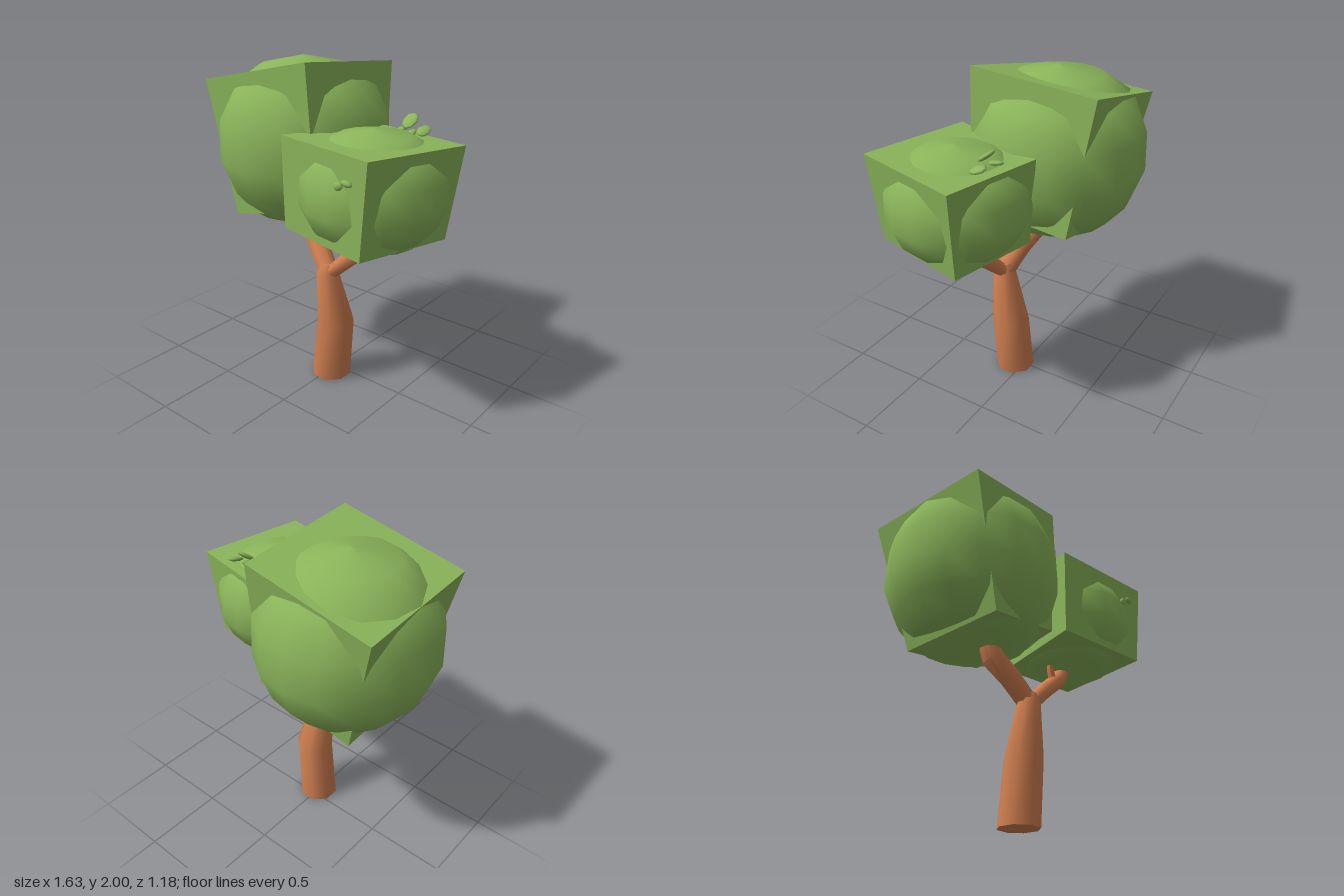
import * as THREE from 'three';
import { toCreasedNormals } from 'three/addons/utils/BufferGeometryUtils.js';

const V = (x, y, z) => new THREE.Vector3(x, y, z);

// Limb lofted through rings given as [x, y, z, radius], with capped ends
function limbGeometry(rings, upright = false, sides = 8) {
  const pos = [], idx = [];
  const c = rings.map(r => V(r[0], r[1], r[2]));
  rings.forEach((ring, i) => {
    const t = upright ? V(0, 1, 0)
      : c[Math.min(i + 1, c.length - 1)].clone().sub(c[Math.max(i - 1, 0)]).normalize();
    const v = V(0, 0, 1).addScaledVector(t, -t.z).normalize();
    const u = v.clone().cross(t);
    for (let j = 0; j < sides; j++) {
      const a = (j + 0.5) / sides * Math.PI * 2;
      const p = c[i].clone()
        .addScaledVector(u, Math.cos(a) * ring[3])
        .addScaledVector(v, Math.sin(a) * ring[3]);
      pos.push(p.x, p.y, p.z);
    }
  });
  const last = (rings.length - 1) * sides, start = rings.length * sides;
  pos.push(...c[0].toArray(), ...c[c.length - 1].toArray());
  for (let j = 0; j < sides; j++) {
    const k = (j + 1) % sides;
    for (let i = 0; i < last; i += sides) {
      idx.push(i + j, i + k, i + sides + k, i + j, i + sides + k, i + sides + j);
    }
    idx.push(start, k, j, start + 1, last + j, last + k);
  }
  const g = new THREE.BufferGeometry();
  g.setAttribute('position', new THREE.Float32BufferAttribute(pos, 3));
  g.setIndex(idx);
  return toCreasedNormals(g, 0.95);
}

// Skewed block from its centre and three edge vectors.
// flare widens it towards the top, spread widens it towards the front.
function blockGeometry(center, ex, ey, ez, flare, spread = 0) {
  const g = new THREE.BoxGeometry(1, 1, 1);
  const p = g.attributes.position;
  for (let i = 0; i < p.count; i++) {
    const x = p.getX(i), z = p.getZ(i), s = 1 + flare * p.getY(i);
    p.setX(i, x * s * (1 + spread * z));
    p.setZ(i, z * s);
  }
  g.applyMatrix4(new THREE.Matrix4().makeBasis(ex, ey, ez).setPosition(center));
  return toCreasedNormals(g, 0.3);
}

// Unit ball with a flattened underside, standing on y = 0
const ballGeometry = () => new THREE.LatheGeometry([
  [0, 0], [0.33, 0.003], [0.64, 0.025], [0.87, 0.17], [1, 0.36],
  [0.985, 0.61], [0.83, 0.82], [0.5, 0.945], [0, 1],
].map(([r, y]) => new THREE.Vector2(r, y)), 16);

export function createModel() {
  const tree = new THREE.Group();
  tree.name = 'tree';
  const bark = new THREE.MeshStandardMaterial({ color: 0xd07f50 });
  bark.name = 'bark';
  const foliage = new THREE.MeshStandardMaterial({ color: 0x8ab45a });
  foliage.name = 'foliage green';

  const add = (name, geometry, material) => {
    const mesh = new THREE.Mesh(geometry, material);
    mesh.name = name;
    tree.add(mesh);
    return mesh;
  };

  // Trunk and branches
  add('trunk', limbGeometry([
    [0.012, 0, 0.06, 0.125], [0.052, 0.4, 0.068, 0.118],
    [0.035, 0.72, 0.12, 0.073], [0.035, 0.79, 0.115, 0.05],
  ], true), bark);
  add('rightBranch', limbGeometry([
    [0.04, 0.73, 0.115, 0.062], [-0.08, 0.865, 0.07, 0.066],
    [-0.18, 0.965, 0.02, 0.07], [-0.215, 1.1, -0.01, 0.058],
  ]), bark);
  add('leftBranch', limbGeometry([
    [0.04, 0.715, 0.12, 0.042], [0.2, 0.86, 0.12, 0.048],
    [0.36, 0.99, 0.125, 0.052], [0.43, 1.11, 0.13, 0.04],
  ]), bark);
  add('twig', limbGeometry([
    [0.3, 0.95, 0.125, 0.028], [0.275, 1.02, 0.125, 0.025], [0.27, 1.1, 0.125, 0.022],
  ], false, 6), bark);

  // Large crown: a tilted block with a ball bulging through its faces
  add('largeCrownBlock', blockGeometry(V(-0.275, 1.478, -0.043),
    V(0.71, 0.145, -0.01), V(-0.13, 0.815, -0.055), V(0, 0.06, 0.72), 0.2), foliage);
  const largeBall = add('largeCrownBall', ballGeometry(), foliage);
  largeBall.position.set(-0.293, 1.02, -0.06);
  largeBall.scale.set(0.523, 0.96, 0.53);

  // Small crown: a flatter block and ball
  add('smallCrownBlock', blockGeometry(V(0.397, 1.35, 0.195),
    V(0.62, 0, 0.134), V(0.037, 0.53, -0.01), V(-0.172, 0.024, 0.62), 0.094, 0.12), foliage);
  const smallBall = add('smallCrownBall', ballGeometry(), foliage);
  smallBall.position.set(0.407, 1.048, 0.18);
  smallBall.scale.set(0.403, 0.63, 0.405);

  // Loose leaves: [x, y, z, half sizes, tilt about x, tilt about z]
  const leaves = [
    [0.4, 1.625, -0.075, 0.028, 0.014, 0.055, 0.2, 0.2],
    [0.465, 1.685, -0.065, 0.045, 0.014, 0.06, 0.65, 0],
    [0.55, 1.64, -0.07, 0.036, 0.014, 0.055, 0.3, -0.3],
    [0.49, 1.625, -0.04, 0.025, 0.014, 0.04, 0.3, 0],
    [0.475, 1.468, 0.565, 0.03, 0.022, 0.014, 0, 0.3],
    [0.535, 1.495, 0.575, 0.035, 0.016, 0.018, 0, -0.2],
  ];
  for (const [x, y, z, sx, sy, sz, rx, rz] of leaves) {
    const leaf = add('leaf', new THREE.SphereGeometry(1, 8, 6), foliage);
    leaf.position.set(x, y, z);
    leaf.scale.set(sx, sy, sz);
    leaf.rotation.set(rx, 0, rz);
  }
  return tree;
}
